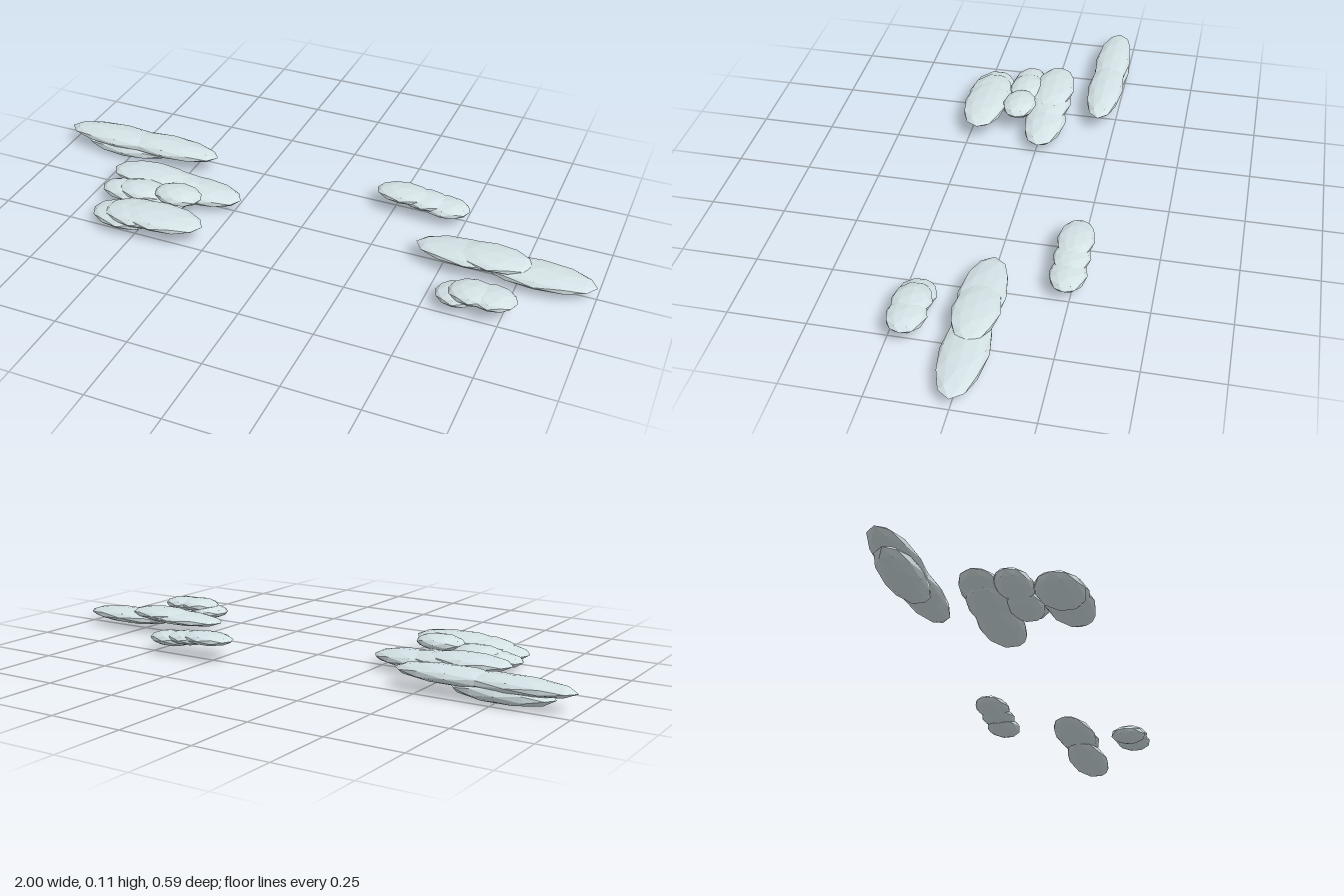
import * as THREE from 'three';

// Each cloud: shared z and z-radius, then puffs as [x, y, x-radius, y-radius]
const clouds = [
  { name: 'longCloudBack', z: -0.195, rz: 0.064, puffs: [
    [-0.795, 0.062, 0.205, 0.027], [-0.765, 0.033, 0.17, 0.033], [-0.605, 0.062, 0.2, 0.029]] },
  { name: 'longCloudMiddle', z: 0, rz: 0.074, puffs: [
    [0.585, 0.058, 0.18, 0.022], [0.66, 0.065, 0.13, 0.022], [0.81, 0.042, 0.19, 0.026]] },
  { name: 'mediumCloudMiddle', z: -0.01, rz: 0.073, puffs: [
    [-0.565, 0.06, 0.15, 0.025], [-0.49, 0.048, 0.16, 0.028], [-0.385, 0.04, 0.155, 0.03]] },
  { name: 'smallCloudRight', z: 0.09, rz: 0.059, puffs: [
    [-0.605, 0.05, 0.1, 0.026], [-0.55, 0.064, 0.09, 0.024], [-0.415, 0.08, 0.085, 0.027],
    [-0.48, 0.046, 0.1, 0.025]] },
  { name: 'mediumCloudFront', z: 0.215, rz: 0.077, puffs: [
    [-0.55, 0.042, 0.12, 0.027], [-0.5, 0.06, 0.12, 0.025], [-0.425, 0.065, 0.16, 0.026]] },
  { name: 'smallCloudBack', z: -0.235, rz: 0.06, puffs: [
    [0.285, 0.068, 0.1, 0.022], [0.36, 0.06, 0.085, 0.022], [0.43, 0.05, 0.085, 0.025]] },
  { name: 'smallCloudFront', z: 0.197, rz: 0.063, puffs: [
    [0.605, 0.044, 0.07, 0.023], [0.655, 0.064, 0.08, 0.024], [0.715, 0.062, 0.08, 0.024]] },
];

export function createModel() {
  const model = new THREE.Group();
  model.name = 'clouds';
  const cloudGrey = new THREE.MeshStandardMaterial({ color: 0xd4e2e5, flatShading: true });
  cloudGrey.name = 'paleCloudGrey';

  // One faceted ball, flattened into every puff
  const ball = new THREE.IcosahedronGeometry(1, 1);
  for (const { name, z, rz, puffs } of clouds) {
    const cloud = new THREE.Group();
    cloud.name = name;
    cloud.position.z = z;
    puffs.forEach(([x, y, rx, ry], i) => {
      const puff = new THREE.Mesh(ball, cloudGrey);
      puff.name = `puff${i + 1}`;
      puff.position.set(x, y, 0);
      puff.scale.set(rx, ry, rz);
      cloud.add(puff);
    });
    model.add(cloud);
  }
  return model;
}
